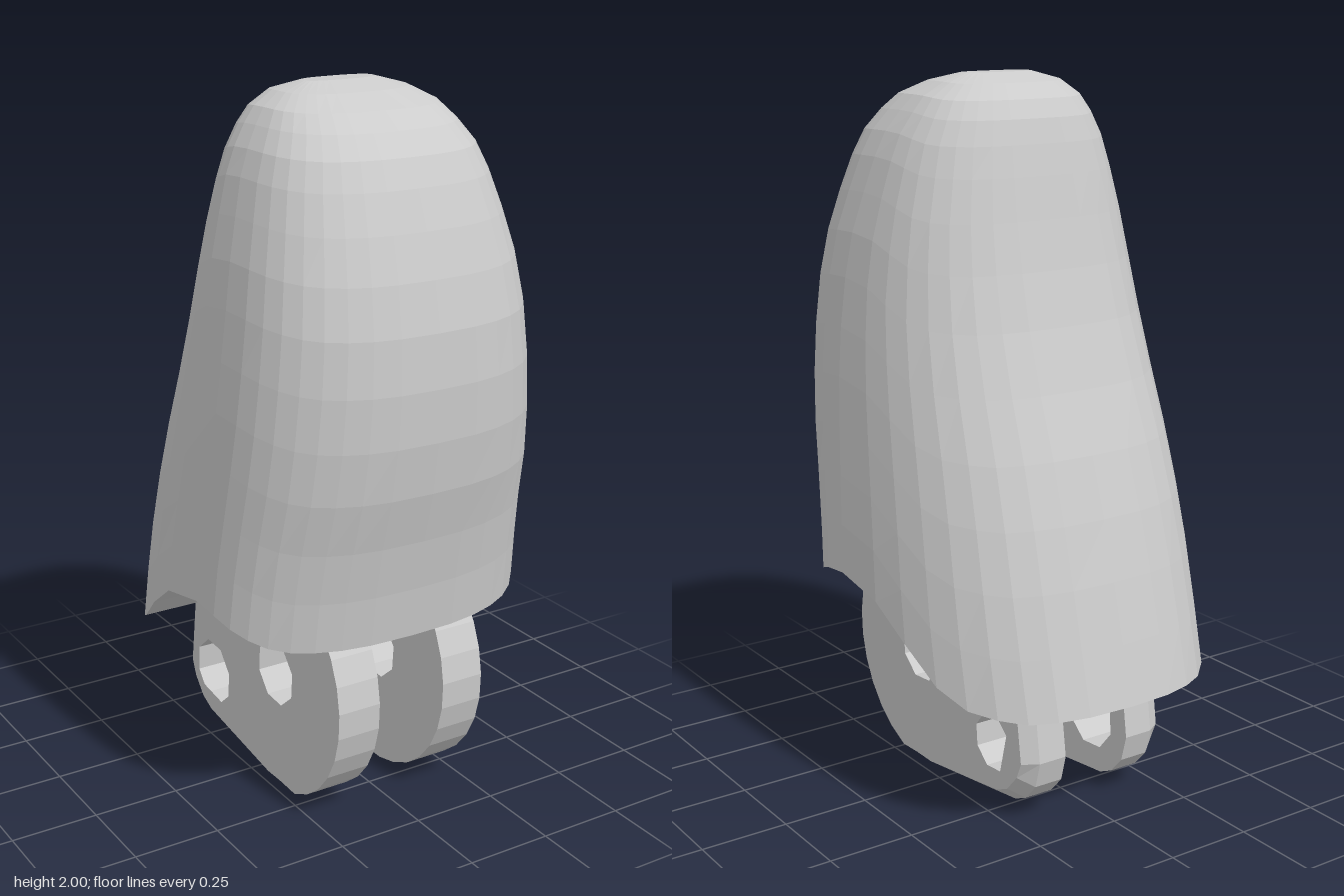
import * as THREE from 'three';

// Body profile, one row per height: y, front z, back z, half width, forward shift of the widest line
const PROFILE = [
  [0.36, 0.42, -0.567, 0.487, 0.17], [0.55, 0.455, -0.52, 0.486, 0.15], [0.64, 0.465, -0.497, 0.484, 0.14],
  [0.8, 0.49, -0.455, 0.475, 0.12], [1.0, 0.54, -0.39, 0.46, 0.09], [1.2, 0.565, -0.31, 0.443, 0.06],
  [1.4, 0.557, -0.24, 0.422, 0.04], [1.6, 0.515, -0.19, 0.39, 0.02], [1.8, 0.435, -0.145, 0.335, 0],
  [1.85, 0.405, -0.13, 0.312, 0], [1.9, 0.355, -0.115, 0.28, 0], [1.945, 0.29, -0.085, 0.245, 0],
  [1.98, 0.2, -0.045, 0.185, 0], [2.0, 0.11, 0.03, 0.11, 0],
];
// Underside curve: z, y
const UNDER = [
  [-0.57, 0.365], [-0.5, 0.36], [-0.38, 0.38], [-0.27, 0.435], [-0.16, 0.53],
  [-0.05, 0.605], [0.04, 0.635], [0.12, 0.642], [0.22, 0.63], [0.3, 0.6], [0.38, 0.565], [0.46, 0.55],
];

// Linear lookup in a table sorted by its first column
function sample(table, v, col) {
  let i = 1;
  while (i < table.length - 1 && table[i][0] < v) i++;
  const a = table[i - 1], b = table[i];
  const t = THREE.MathUtils.clamp((v - a[0]) / (b[0] - a[0]), 0, 1);
  return a[col] + (b[col] - a[col]) * t;
}

const power = (v, e) => Math.sign(v) * Math.abs(v) ** e;

// Point on the egg-shaped cross-section at height y
function sectionPoint(angle, y) {
  const front = sample(PROFILE, y, 1), back = sample(PROFILE, y, 2);
  const middle = (front + back) / 2 + sample(PROFILE, y, 4);
  const c = power(Math.cos(angle), 0.75);
  const x = sample(PROFILE, y, 3) * power(Math.sin(angle), 0.75);
  return [x, y, middle + c * (c > 0 ? front - middle : middle - back)];
}

function meshFrom(quads, name, material) {
  const pos = [];
  for (const [a, b, c, d] of quads) pos.push(...a, ...b, ...c, ...a, ...c, ...d);
  const geometry = new THREE.BufferGeometry();
  geometry.setAttribute('position', new THREE.Float32BufferAttribute(pos, 3));
  geometry.computeVertexNormals();
  const mesh = new THREE.Mesh(geometry, material);
  mesh.name = name;
  return mesh;
}

// Rim of the body, where the sections meet the underside curve
const SIDES = 36;
function rimPoint(i) {
  const angle = i / SIDES * Math.PI * 2;
  let y = 0.5;
  for (let k = 0; k < 20; k++) y = sample(UNDER, sectionPoint(angle, y)[2], 1);
  return sectionPoint(angle, y);
}

function makeBody(rim, material) {
  const levels = [0, 0.1, 0.2, 0.3, 0.4, 0.5, 0.6, 0.69, 0.77, 0.84, 0.89, 0.93, 0.96, 0.985, 1];
  const rows = levels.map((t) => rim.map((p, i) =>
    sectionPoint(i / SIDES * Math.PI * 2, p[1] + (2 - p[1]) * t)));
  rows.push(rim.map(() => [0, 2, 0.07]));
  const quads = [];
  for (let j = 0; j < rows.length - 1; j++) {
    for (let i = 0; i < SIDES; i++) {
      const k = (i + 1) % SIDES;
      quads.push([rows[j][i], rows[j][k], rows[j + 1][k], rows[j + 1][i]]);
    }
  }
  return meshFrom(quads, 'fingertipBody', material);
}

// Curved underside with a slot between the hinge tabs
function makeUnderside(rim, material) {
  const half = 0.11, ceiling = 0.66, quads = [], slot = [];
  const strip = (a, b, xa, xb) => quads.push([
    [xa[0], a[1], a[2]], [xb[0], b[1], b[2]], [xb[1], b[1], b[2]], [xa[1], a[1], a[2]]]);
  const inSlot = (p) => p[2] > -0.4 && p[2] < 0.34;
  for (let i = 0; i < SIDES / 2; i++) {
    const a = rim[i], b = rim[i + 1];
    const xa = Math.max(a[0], 0), xb = Math.max(b[0], 0);
    const sa = Math.min(half, xa), sb = Math.min(half, xb);
    strip(a, b, [-xa, -sa], [-xb, -sb]);
    strip(a, b, [sa, xa], [sb, xb]);
    if (inSlot(a) && inSlot(b)) slot.push(a, b);
    else strip(a, b, [-sa, sa], [-sb, sb]);
  }
  const first = slot[0], last = slot[slot.length - 1];
  const path = [first, [0, ceiling, first[2]], [0, ceiling, last[2]], last];
  for (let i = 0; i < 3; i++) strip(path[i], path[i + 1], [-half, half], [-half, half]);
  return meshFrom(quads, 'underside', material);
}

// Hinge tab drawn with u = -z, v = y and extruded outward along x
function makeTabGeometry(rearHoleRadius) {
  const inner = 0.105, depth = 0.13;
  const shape = new THREE.Shape();
  shape.moveTo(-0.105, 0.705);
  for (let i = 1; i <= 15; i++) {
    const a = Math.PI / 2 + i / 15 * Math.PI * 1.03;
    shape.lineTo(-0.105 + 0.353 * Math.cos(a), 0.353 + 0.353 * Math.sin(a));
  }
  for (const [u, v] of [[0.3, 0.042], [0.35, 0.065], [0.395, 0.115], [0.415, 0.19], [0.385, 0.4], [0.385, 0.69]]) {
    shape.lineTo(u, v);
  }
  for (const [u, v, r] of [[-0.12, 0.36, 0.097], [0.25, 0.205, rearHoleRadius]]) {
    const hole = new THREE.Path();
    for (let i = 0; i < 8; i++) {
      const a = -(i + 0.4) / 8 * Math.PI * 2;
      hole[i ? 'lineTo' : 'moveTo'](u + r * Math.cos(a), v + r * Math.sin(a));
    }
    hole.closePath();
    shape.holes.push(hole);
  }
  const geometry = new THREE.ExtrudeGeometry(shape, { depth, steps: 3, bevelEnabled: false });

  // Chamfer the outer face along bottom and back, leaving the holes alone
  const p = geometry.attributes.position;
  for (let i = 0; i < p.count; i++) {
    const u = p.getX(i), v = p.getY(i);
    if (p.getZ(i) < depth - 0.001 || Math.hypot(u - 0.25, v - 0.205) < rearHoleRadius + 0.005) continue;
    if (u > 0.28) p.setXY(i, u - 0.028, v < 0.15 ? v + 0.028 : v);
    else if (u > -0.2 && v < 0.03) p.setY(i, v + 0.02);
  }
  geometry.translate(0, 0, inner);
  geometry.rotateY(Math.PI / 2);
  geometry.computeVertexNormals();
  return geometry;
}

export function createModel() {
  const group = new THREE.Group();
  group.name = 'fingertipSegment';
  const material = new THREE.MeshStandardMaterial({ color: 0xcccccc, flatShading: true });

  const rim = Array.from({ length: SIDES }, (_, i) => rimPoint(i));
  group.add(makeBody(rim, material), makeUnderside(rim, material));

  for (const [name, side, rearHoleRadius] of [['leftHingeTab', 1, 0.083], ['rightHingeTab', -1, 0.1]]) {
    const tab = new THREE.Mesh(makeTabGeometry(rearHoleRadius), material);
    tab.name = name;
    tab.scale.x = side;
    group.add(tab);
  }
  return group;
}
